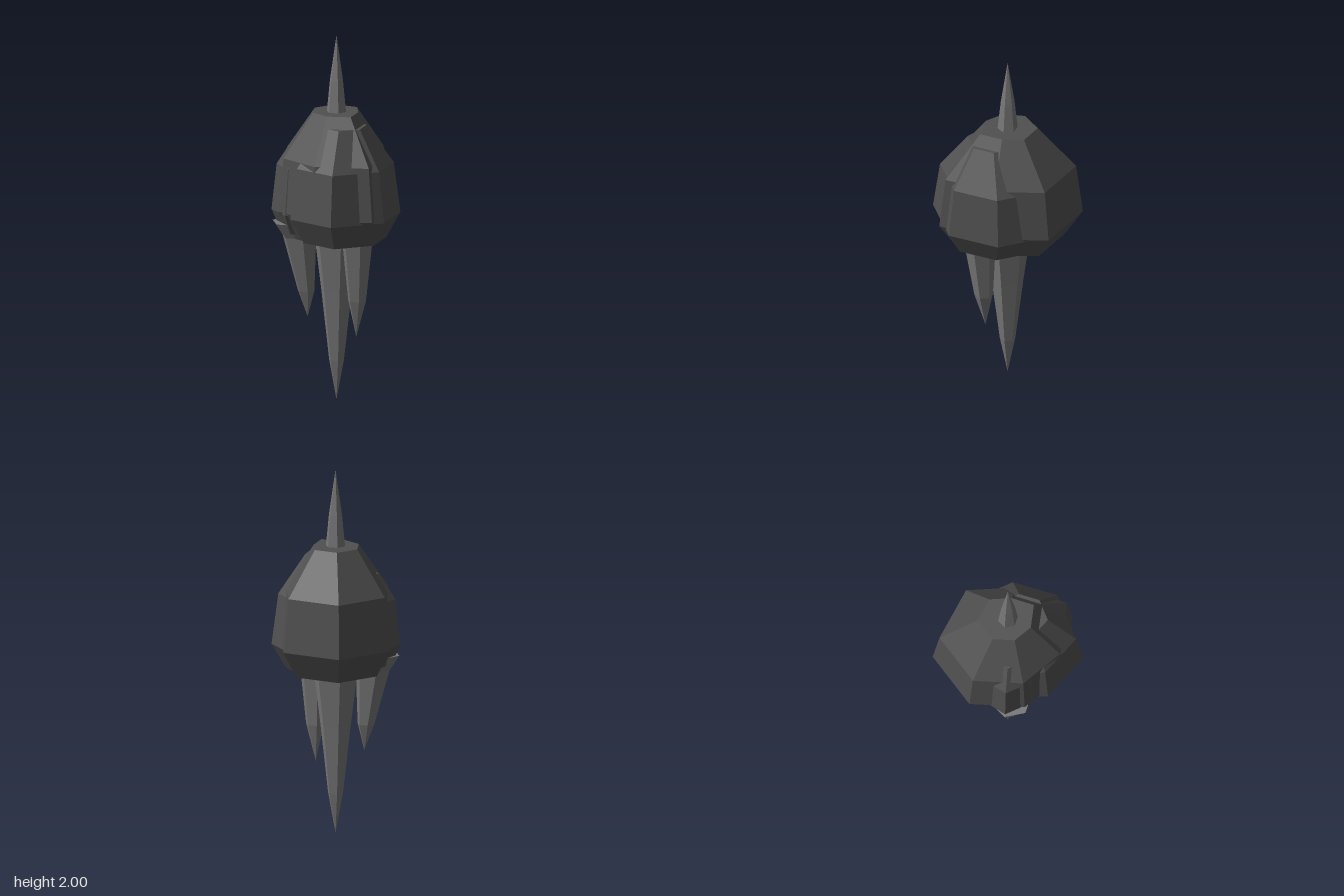
import * as THREE from 'three';

const rockMat = new THREE.MeshStandardMaterial({ color: 0x505050, flatShading: true });
const crystalMat = new THREE.MeshStandardMaterial({ color: 0x777777, flatShading: true });

// Skin a stack of equal-length rings (bottom to top) and close both ends.
function loft(rings) {
  const n = rings[0].length;
  const pos = [];
  const tri = (...pts) => pts.forEach((p) => pos.push(p.x, p.y, p.z));
  for (let k = 0; k < rings.length - 1; k++) {
    for (let i = 0; i < n; i++) {
      const j = (i + 1) % n;
      const a = rings[k][i], b = rings[k][j], c = rings[k + 1][i], d = rings[k + 1][j];
      if (a.distanceTo(b) > 1e-5) tri(a, c, b);
      if (c.distanceTo(d) > 1e-5) tri(b, c, d);
    }
  }
  const bottom = rings[0], top = rings[rings.length - 1];
  for (let i = 1; i < n - 1; i++) {
    if (bottom[0].distanceTo(bottom[1]) > 1e-5) tri(bottom[0], bottom[i], bottom[i + 1]);
    if (top[0].distanceTo(top[1]) > 1e-5) tri(top[0], top[i + 1], top[i]);
  }
  const g = new THREE.BufferGeometry();
  g.setAttribute('position', new THREE.Float32BufferAttribute(pos, 3));
  g.computeVertexNormals();
  return g;
}

// Rock: an irregular outline scaled about its centre at each [height, scale].
function rock(name, [cx, cz], outline, levels) {
  const rings = levels.map(([y, s]) =>
    outline.map(([x, z]) => new THREE.Vector3(cx + (x - cx) * s, y, cz + (z - cz) * s)));
  const mesh = new THREE.Mesh(loft(rings), rockMat);
  mesh.name = name;
  return mesh;
}

// Crystal: six-sided rings given as [height, radius, x, z].
function crystal(name, levels) {
  const rings = levels.map(([y, r, x, z]) => Array.from({ length: 6 }, (_, i) => {
    const a = (i * Math.PI) / 3;
    return new THREE.Vector3(x + r * Math.cos(a), y, z + r * Math.sin(a));
  }));
  const mesh = new THREE.Mesh(loft(rings), crystalMat);
  mesh.name = name;
  return mesh;
}

export function createModel() {
  const model = new THREE.Group();
  model.name = 'floatingRock';

  // Main seven-sided boulder with uneven radii
  const c = -0.022;
  const radii = [0.367, 0.295, 0.398, 0.33, 0.322, 0.357, 0.402];
  const outline = radii.map((r, i) => {
    const a = (i * 2 * Math.PI) / 7;
    return [c + r * Math.cos(a), c + r * Math.sin(a)];
  });
  model.add(rock('mainRock', [c, c], outline,
    [[0.9, 0.76], [1.05, 1], [1.34, 0.91], [1.58, 0.4]]));

  // Smaller boulders fused into its front and back right sides
  model.add(rock('frontRock', [-0.05, 0.07],
    [[0.305, -0.06], [0.22, 0.22], [-0.025, 0.365], [-0.31, 0.26], [-0.345, -0.025], [-0.2, -0.2], [0.1, -0.2]],
    [[0.9, 0.75], [1.035, 1], [1.31, 0.88], [1.52, 0.4]]));
  model.add(rock('sideRock', [-0.14, -0.12],
    [[0.04, -0.12], [-0.03, 0.04], [-0.18, 0.06], [-0.32, -0.1], [-0.27, -0.265], [-0.1, -0.31]],
    [[0.93, 0.75], [1.04, 1], [1.29, 0.86], [1.43, 0.4]]));

  // Long crystal running through the middle, pointed at both ends
  model.add(crystal('mainCrystal', [
    [0, 0, c, c], [0.22, 0.042, c, c], [0.6, 0.086, c, c], [0.9, 0.125, c, c],
    [1.2, 0.1, c, c], [1.58, 0.054, c, c], [1.75, 0.037, c, c], [2, 0, c, c],
  ]));

  // Short crystals hanging below the smaller boulders
  model.add(crystal('frontCrystal', [
    [0.37, 0, -0.015, 0.13], [0.57, 0.05, -0.018, 0.14], [0.9, 0.085, -0.03, 0.155], [1.02, 0.09, -0.03, 0.16],
  ]));
  model.add(crystal('sideCrystal', [
    [0.455, 0, -0.14, -0.12], [0.6, 0.047, -0.145, -0.128], [0.9, 0.095, -0.175, -0.148], [0.98, 0.115, -0.205, -0.165],
  ]));

  return model;
}
